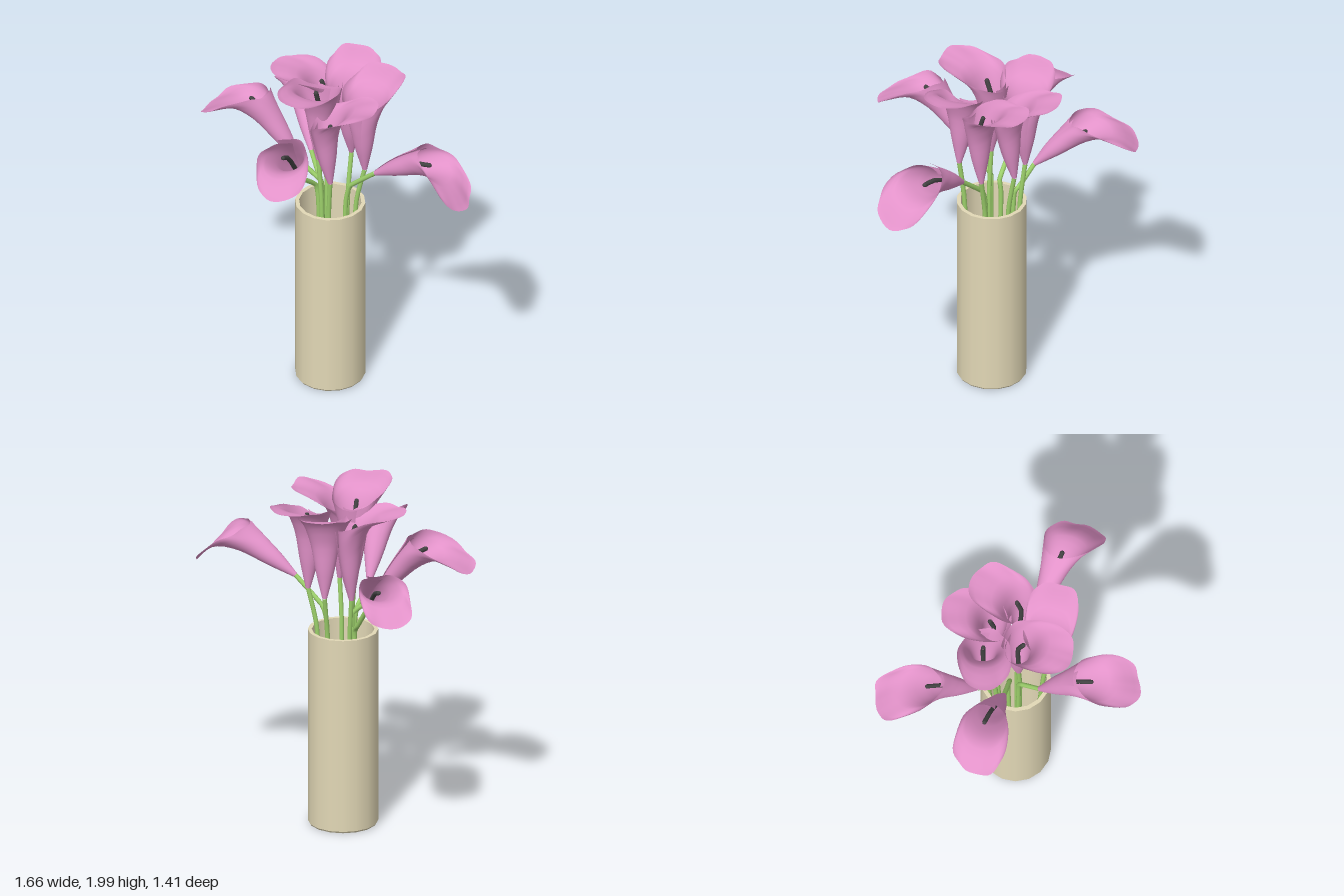
import * as THREE from 'three';
import { ParametricGeometry } from 'three/addons/geometries/ParametricGeometry.js';

const CX = -0.067, CZ = -0.04; // vase axis
const mat = (color, side = THREE.FrontSide) => new THREE.MeshStandardMaterial({ color, side });
const petalMat = mat(0xe292c9, THREE.DoubleSide);
const stemMat = mat(0x9ed26c);
const spadixMat = mat(0x444444);
const vaseMat = mat(0xe2d8b6);

const spline = (...pts) => new THREE.SplineCurve(pts.map(p => new THREE.Vector2(...p)));
const tube = (pts, segs, r, sides) => new THREE.TubeGeometry(
  new THREE.CatmullRomCurve3(pts.map(p => new THREE.Vector3(...p)), false, 'catmullrom', 0.15), segs, r, sides);

function mesh(geometry, material, name) {
  const m = new THREE.Mesh(geometry, material);
  m.name = name;
  return m;
}

// Spathe outlines (x, y): the flaring lobe side, the split side, and the half width
const lobe = spline([0.014, 0], [0.044, 0.16], [0.075, 0.35], [0.152, 0.48], [0.31, 0.518]);
const split = spline([-0.014, 0], [-0.05, 0.14], [-0.068, 0.25], [-0.078, 0.34], [-0.088, 0.42]);
const width = spline([0.014, 0], [0.052, 0.18], [0.083, 0.34], [0.12, 0.45], [0.152, 0.5]);

// Petal rolled into a trumpet whose edges overlap at the split.
// open < 1 cuts the split lower, phase varies the waves of the rim
function spatheGeometry(open, phase) {
  return new ParametricGeometry((u, v, target) => {
    const a = (u * 2 - 1) * (Math.PI + 0.25);
    const roll = 1 - 0.12 * Math.max(0, u - 0.5) * 2;
    const L = lobe.getPoint(v), S = split.getPoint(v), W = width.getPoint(v).x;
    // Sections grow squarer towards the rim, giving a broad blunt lobe
    const square = 1 - 0.18 * v * v;
    const blunt = n => Math.sign(n) * Math.abs(n) ** square;
    const c = blunt(Math.cos(a)), s = blunt(Math.sin(a));
    const t = Math.pow(Math.max(0, (1 + c) / 2), 0.6);
    // The sides of the rim arch up, the edge is wavy
    const arch = 0.02 * s * s * v ** 4;
    const wave = v ** 5 * (Math.sin(a * 4 + phase) + 0.6 * Math.sin(a * 7 + phase * 2));
    const flare = roll * (1 + 0.025 * wave);
    target.set(
      (L.x + S.x) / 2 + (L.x - S.x) / 2 * c * flare,
      S.y * open + (L.y - S.y * open) * t + arch + 0.005 * wave,
      W * s * flare
    );
  }, 48, 14);
}

// Dark spadix with a rounded end
function makeSpadix() {
  const g = new THREE.Group();
  g.name = 'spadix';
  g.add(mesh(tube([[0, 0.1, 0], [-0.005, 0.28, 0], [0, 0.36, 0], [0.028, 0.44, 0]], 12, 0.013, 8), spadixMat, 'spadixRod'));
  const tip = mesh(new THREE.SphereGeometry(0.013, 8, 6), spadixMat, 'spadixTip');
  tip.position.set(0.028, 0.44, 0);
  g.add(tip);
  return g;
}

// base of bloom, horizontal direction of the lobe, tilt in degrees, twist about its own axis,
// how far the split is cut, and the stem position at the vase rim
const flowers = [
  { base: [-0.12, 1.44, 0.0], dir: [0, 1], tilt: 0, rim: [-0.1, 0.0], size: 1.04 },
  { base: [-0.18, 1.39, -0.19], dir: [-0.28, 0.13], tilt: -1, rim: [-0.16, -0.17] },
  { base: [-0.03, 1.39, -0.22], dir: [-0.09, -0.25], tilt: -5, open: 0.9, rim: [-0.03, -0.18] },
  { base: [0.12, 1.39, -0.1], dir: [0.02, -0.3], tilt: -2, rim: [0.07, -0.09] },
  { base: [0.02, 1.39, 0.12], dir: [0.3, -0.05], tilt: -4, open: 0.85, rim: [0.0, 0.1] },
  { base: [-0.15, 1.38, 0.14], dir: [0.08, 0.55], tilt: 39, twist: 0.25, rim: [-0.12, 0.0], knee: [-0.13, 1.27, 0.01] },
  { base: [0.22, 1.43, -0.04], dir: [1, 0.03], tilt: 60, twist: -0.25, open: 0.86, size: 1.01, rim: [0.02, -0.06], knee: [0.05, 1.28, -0.06] },
  { base: [-0.26, 1.37, -0.03], dir: [-1, 0.03], tilt: 39, twist: 0.15, rim: [-0.13, -0.06], knee: [-0.13, 1.26, -0.05] },
  { base: [-0.27, 1.34, -0.19], dir: [-0.34, -0.46], tilt: 49, open: 0.8, size: 0.98, rim: [-0.17, -0.12], knee: [-0.19, 1.21, -0.14] }
];

function makeFlower({ base, dir, tilt, twist = 0, open = 1, size = 1, rim, knee }, index) {
  const flower = new THREE.Group();
  flower.name = 'flower';

  const petal = mesh(spatheGeometry(open, index * 1.3), petalMat, 'petal');
  petal.rotation.y = twist;
  const spadix = makeSpadix();
  spadix.position.y = (open - 1) * 0.4;

  const bloom = new THREE.Group();
  bloom.name = 'bloom';
  bloom.add(petal, spadix);
  bloom.position.set(...base);
  bloom.rotation.order = 'YXZ';
  bloom.rotation.set(0, Math.atan2(-dir[1], dir[0]), -THREE.MathUtils.degToRad(tilt));
  bloom.scale.setScalar(size);

  // Stem from the vase floor, past the rim, into the bloom
  const foot = [CX + (rim[0] - CX) * 0.6, 0.04, CZ + (rim[1] - CZ) * 0.6];
  const path = [foot, [rim[0], 1.15, rim[1]]];
  if (knee) path.push(knee);
  path.push(base);
  flower.add(bloom, mesh(tube(path, 40, 0.0135, 8), stemMat, 'stem'));
  return flower;
}

export function createModel() {
  const model = new THREE.Group();
  model.name = 'vaseOfLilies';

  // Hollow vase: outside, rim, inside wall and inner floor
  const wall = [[0, 0], [0.19, 0], [0.19, 0], [0.197, 0.01], [0.197, 0.01], [0.197, 1.15], [0.197, 1.15],
    [0.175, 1.15], [0.175, 1.15], [0.175, 0.03], [0.175, 0.03], [0, 0.03]];
  const vase = mesh(new THREE.LatheGeometry(wall.map(p => new THREE.Vector2(...p)), 16), vaseMat, 'vase');
  vase.position.set(CX, 0, CZ);
  model.add(vase);

  flowers.forEach((f, i) => model.add(makeFlower(f, i)));
  return model;
}
